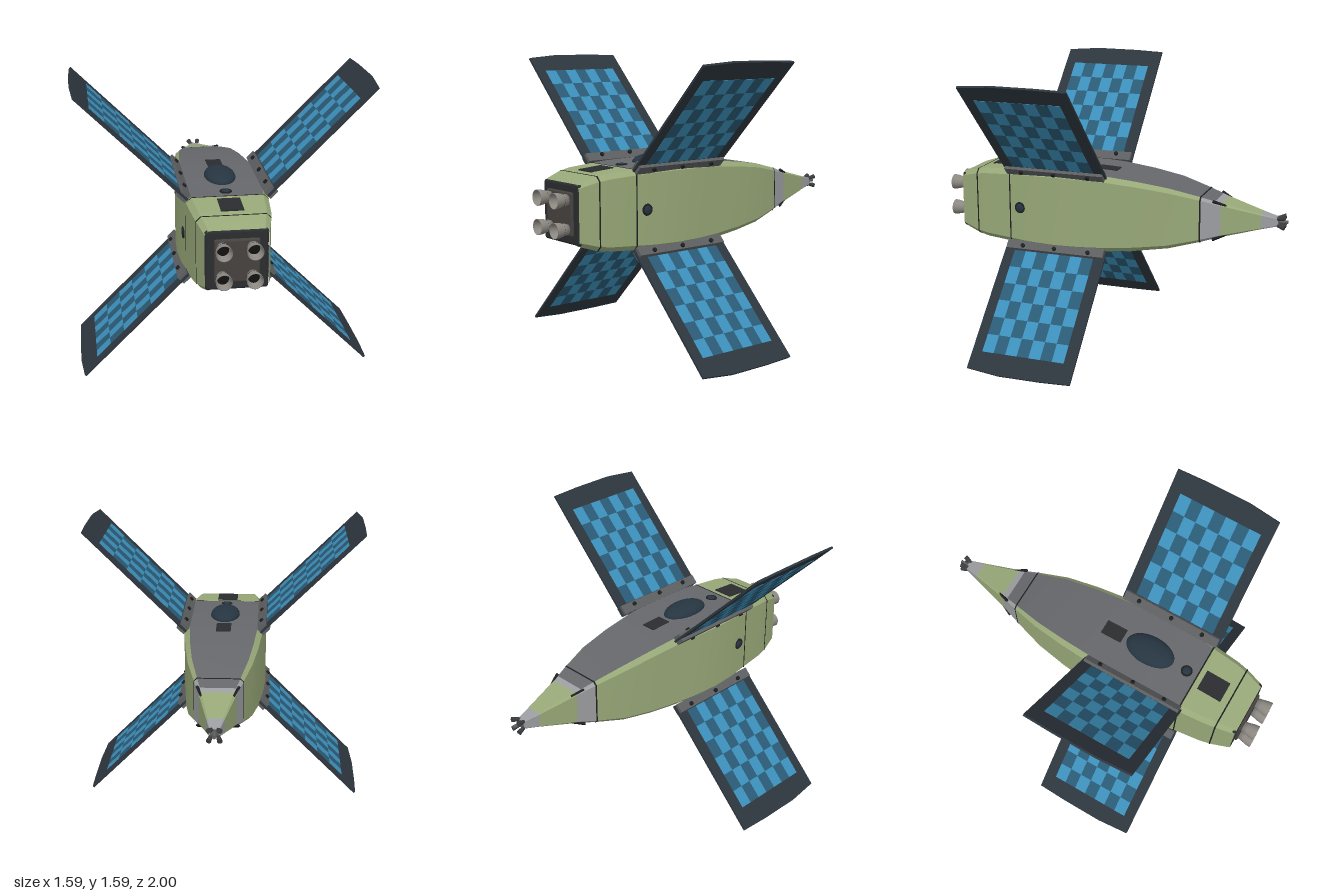
import * as THREE from 'three';
import { mergeGeometries } from 'three/addons/utils/BufferGeometryUtils.js';
import { RoundedBoxGeometry } from 'three/addons/geometries/RoundedBoxGeometry.js';

const GREEN = 0x98a878, GREY = 0x66676b, LIGHT = 0x9c9da0, DARK = 0x2b2c2f, LINE = 0x1d1f20;
const FRAME = 0x2d353d, RAIL = 0x5c5e60, GLASS = 0x263541, METAL = 0x8c8882;

// Hull stations: z, half width, half height
const STATIONS = [
  [-0.95, 0.025, 0.022], [-0.86, 0.047, 0.042], [-0.64, 0.1, 0.098], [-0.53, 0.132, 0.13],
  [-0.36, 0.177, 0.173], [-0.18, 0.203, 0.2], [0, 0.22, 0.219], [0.15, 0.235, 0.225],
  [0.3, 0.242, 0.227], [0.45, 0.234, 0.224], [0.57, 0.219, 0.217], [0.73, 0.203, 0.206],
  [0.8, 0.19, 0.194], [0.9, 0.163, 0.162],
];

function halfSizes(z) {
  const n = STATIONS.length;
  let i = 0;
  while (i < n - 2 && STATIONS[i + 1][0] < z) i++;
  const a = STATIONS[i], b = STATIONS[i + 1];
  const t = (z - a[0]) / (b[0] - a[0]);
  return [a[1] + (b[1] - a[1]) * t, a[2] + (b[2] - a[2]) * t];
}

// Chamfered square section, counterclockwise seen from +z
function section(z, grow) {
  const [w, h] = halfSizes(z).map((v) => v + grow);
  const a = h * 0.87, b = w * 0.87;
  return [[w, -a], [w, a], [b, h], [-b, h], [-w, a], [-w, -a], [-b, -h], [b, -h]];
}

// Skin of chosen hull sides between two z values (0 left, 2 top, 4 right, 6 bottom, odd = chamfers)
function skin(z0, z1, sides, grow = 0) {
  const zs = [z0, ...STATIONS.map((s) => s[0]).filter((z) => z > z0 + 1e-4 && z < z1 - 1e-4), z1];
  return mergeGeometries(sides.map((k) => {
    const pos = [], index = [];
    zs.forEach((z, i) => {
      const s = section(z, grow);
      pos.push(...s[k], z, ...s[(k + 1) % 8], z);
      if (i) {
        const p = 2 * i - 2;
        index.push(p, p + 1, p + 2, p + 1, p + 3, p + 2);
      }
    });
    const g = new THREE.BufferGeometry();
    g.setAttribute('position', new THREE.Float32BufferAttribute(pos, 3));
    g.setIndex(index);
    g.computeVertexNormals();
    return g;
  }));
}

function add(parent, name, geometry, color, x = 0, y = 0, z = 0, side = THREE.FrontSide) {
  const mesh = new THREE.Mesh(geometry, new THREE.MeshStandardMaterial({ color, side }));
  mesh.name = name;
  mesh.position.set(x, y, z);
  parent.add(mesh);
  return mesh;
}

const ALL = [0, 1, 2, 3, 4, 5, 6, 7], FLANKS = [0, 1, 3, 4, 5, 7], DECKS = [2, 6];

function buildHull(root) {
  const hull = new THREE.Group();
  hull.name = 'hull';
  root.add(hull);
  add(hull, 'noseTip', skin(-0.95, -0.86, ALL), LIGHT);
  add(hull, 'noseCone', skin(-0.86, -0.645, ALL), GREEN);
  add(hull, 'noseBandSides', skin(-0.645, -0.53, FLANKS), LIGHT);
  add(hull, 'noseBandDecks', skin(-0.645, -0.61, DECKS), LIGHT);
  add(hull, 'sidePlating', skin(-0.53, 0.57, FLANKS), GREEN);
  add(hull, 'deckPlating', skin(-0.61, 0.57, DECKS), GREY);
  add(hull, 'rearSection', skin(0.57, 0.9, ALL), GREEN);
  for (const z of [-0.535, 0.57, 0.79]) add(hull, 'seam', skin(z - 0.004, z + 0.004, ALL, 0.002), LINE);
  add(hull, 'noseCap', new THREE.BoxGeometry(0.044, 0.04, 0.01), RAIL, 0, 0, -0.949);
  add(hull, 'rearCap', new RoundedBoxGeometry(0.324, 0.322, 0.03, 3, 0.014), DARK, 0, 0, 0.888);
  add(hull, 'enginePlate', new RoundedBoxGeometry(0.235, 0.235, 0.04, 3, 0.012), 0x45413f, 0, 0, 0.898);
}

// Main nozzles and the small cluster on the nose
function buildEngines(root) {
  const bell = new THREE.LatheGeometry([[0.02, 0.02], [0.028, 0], [0.034, 0.03], [0.041, 0.06], [0.043, 0.085],
    [0.04, 0.085], [0.035, 0.05], [0.026, 0.02]].map(([r, y]) => new THREE.Vector2(r, y)), 24);
  bell.rotateX(Math.PI / 2);
  const throat = new THREE.CircleGeometry(0.036, 24);
  const thruster = new THREE.CylinderGeometry(0.009, 0.014, 0.05, 12).rotateX(Math.PI / 2);
  for (const sx of [-1, 1]) for (const sy of [-1, 1]) {
    add(root, 'engineNozzle', bell, METAL, sx * 0.078, sy * 0.078, 0.915, THREE.DoubleSide);
    add(root, 'nozzleThroat', throat, 0x111111, sx * 0.078, sy * 0.078, 0.95);
    const t = add(root, 'noseThruster', thruster, 0x3b3c3e, sx * 0.022, sy * 0.022, -0.962);
    t.rotation.set(sy * 0.25, -sx * 0.25, 0);
  }
  add(root, 'noseProbe', new THREE.CylinderGeometry(0.01, 0.01, 0.06, 12).rotateX(Math.PI / 2), RAIL, 0, 0, -0.97);
}

// Dome, hatches and round ports
function buildFittings(root) {
  const dome = new THREE.SphereGeometry(1, 32, 16).scale(0.085, 0.045, 0.145);
  add(root, 'canopyDome', dome, GLASS, 0, 0.226, 0.275);
  add(root, 'frontHatch', new THREE.BoxGeometry(0.084, 0.012, 0.125), DARK, 0, 0.219, 0.045).rotation.x = -0.04;
  add(root, 'rearHatch', new THREE.BoxGeometry(0.12, 0.012, 0.145), DARK, 0, 0.209, 0.675).rotation.x = 0.07;
  for (let k = 0; k < 4; k++) {
    const port = new THREE.Group();
    port.name = 'port';
    port.rotation.z = k * Math.PI / 2;
    root.add(port);
    const r = halfSizes(0.505)[k % 2];
    add(port, 'portRim', new THREE.TorusGeometry(0.027, 0.006, 8, 24).rotateY(Math.PI / 2), LINE, r, 0, 0.505);
    add(port, 'portGlass', new THREE.SphereGeometry(1, 20, 10).scale(0.01, 0.026, 0.026), GLASS, r, 0, 0.505);
  }
}

// Wing in its own frame: x runs outward, y is normal to the panel
function buildWing(root, angle) {
  const wing = new THREE.Group();
  wing.name = 'solarWing';
  wing.rotation.z = angle;
  root.add(wing);

  const outline = new THREE.Shape([[0.3, -0.02], [1.11, -0.02], [1.118, 0.15], [1.12, 0.4], [1.1, 0.59], [0.3, 0.59]]
    .map(([x, y]) => new THREE.Vector2(x, y)));
  const frame = new THREE.ExtrudeGeometry(outline, { depth: 0.012, bevelEnabled: false });
  frame.rotateX(Math.PI / 2).translate(0, 0.006, 0);
  add(wing, 'panelFrame', frame, FRAME);

  // Checkered cells showing on both faces
  const cells = [[], []], dx = 0.638 / 6, dz = 0.485 / 7;
  for (let i = 0; i < 6; i++) for (let j = 0; j < 7; j++) {
    const cell = new THREE.BoxGeometry(dx, 0.015, dz);
    cells[(i + j) % 2].push(cell.translate(0.358 + (i + 0.5) * dx, 0, 0.045 + (j + 0.5) * dz));
  }
  add(wing, 'lightCells', mergeGeometries(cells[0]), 0x2a5a75);
  add(wing, 'brightCells', mergeGeometries(cells[1]), 0x3c8fba);

  // Clamp rails with bolts on both faces
  for (const s of [-1, 1]) {
    add(wing, 'clampRail', new THREE.BoxGeometry(0.055, 0.018, 0.59), RAIL, 0.326, s * 0.015, 0.285);
    for (const z of [0.08, 0.285, 0.48]) {
      add(wing, 'clampBolt', new THREE.CylinderGeometry(0.012, 0.012, 0.014, 12), LINE, 0.334, s * 0.028, z);
    }
  }

  // Slim dark fin lying on the nose corner
  const fin = add(wing, 'noseFin', new THREE.BoxGeometry(0.014, 0.012, 0.09), LINE, 0.132, 0, -0.64);
  fin.rotation.y = 0.55;
}

export function createModel() {
  const model = new THREE.Group();
  model.name = 'spacecraft';
  const body = new THREE.Group();
  body.name = 'body';
  body.position.y = 0.8;
  model.add(body);
  buildHull(body);
  buildEngines(body);
  buildFittings(body);
  for (let k = 0; k < 4; k++) buildWing(body, Math.PI / 4 + k * Math.PI / 2);
  return model;
}
